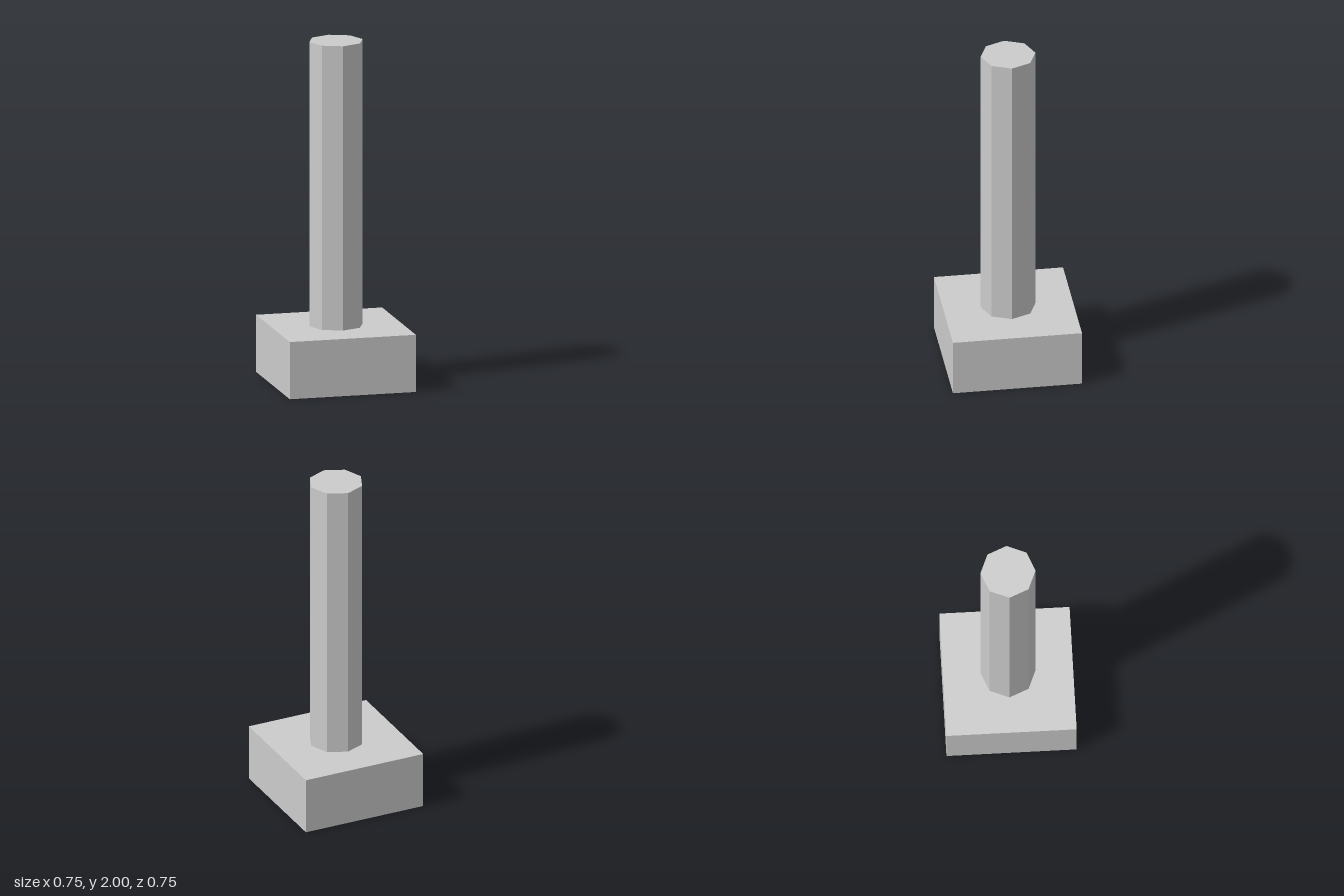
import * as THREE from 'three';

export function createModel() {
  const model = new THREE.Group();
  const grey = new THREE.MeshStandardMaterial({ color: 0xcccccc, side: THREE.DoubleSide, flatShading: true });
  grey.name = 'grey';

  const baseWidth = 0.746, baseHeight = 0.335, postRadius = 0.158, totalHeight = 2;

  // Hollow square base, open underneath: drop the box's bottom face (indices 18 to 23)
  const baseGeometry = new THREE.BoxGeometry(baseWidth, baseHeight, baseWidth);
  const index = Array.from(baseGeometry.index.array);
  index.splice(18, 6);
  baseGeometry.setIndex(index);
  baseGeometry.clearGroups();
  const base = new THREE.Mesh(baseGeometry, grey);
  base.name = 'base';
  base.position.y = baseHeight / 2;
  model.add(base);

  // Eight-sided post standing on the base
  const postHeight = totalHeight - baseHeight;
  const post = new THREE.Mesh(new THREE.CylinderGeometry(postRadius, postRadius, postHeight, 8), grey);
  post.name = 'post';
  post.position.y = baseHeight + postHeight / 2;
  model.add(post);

  return model;
}
